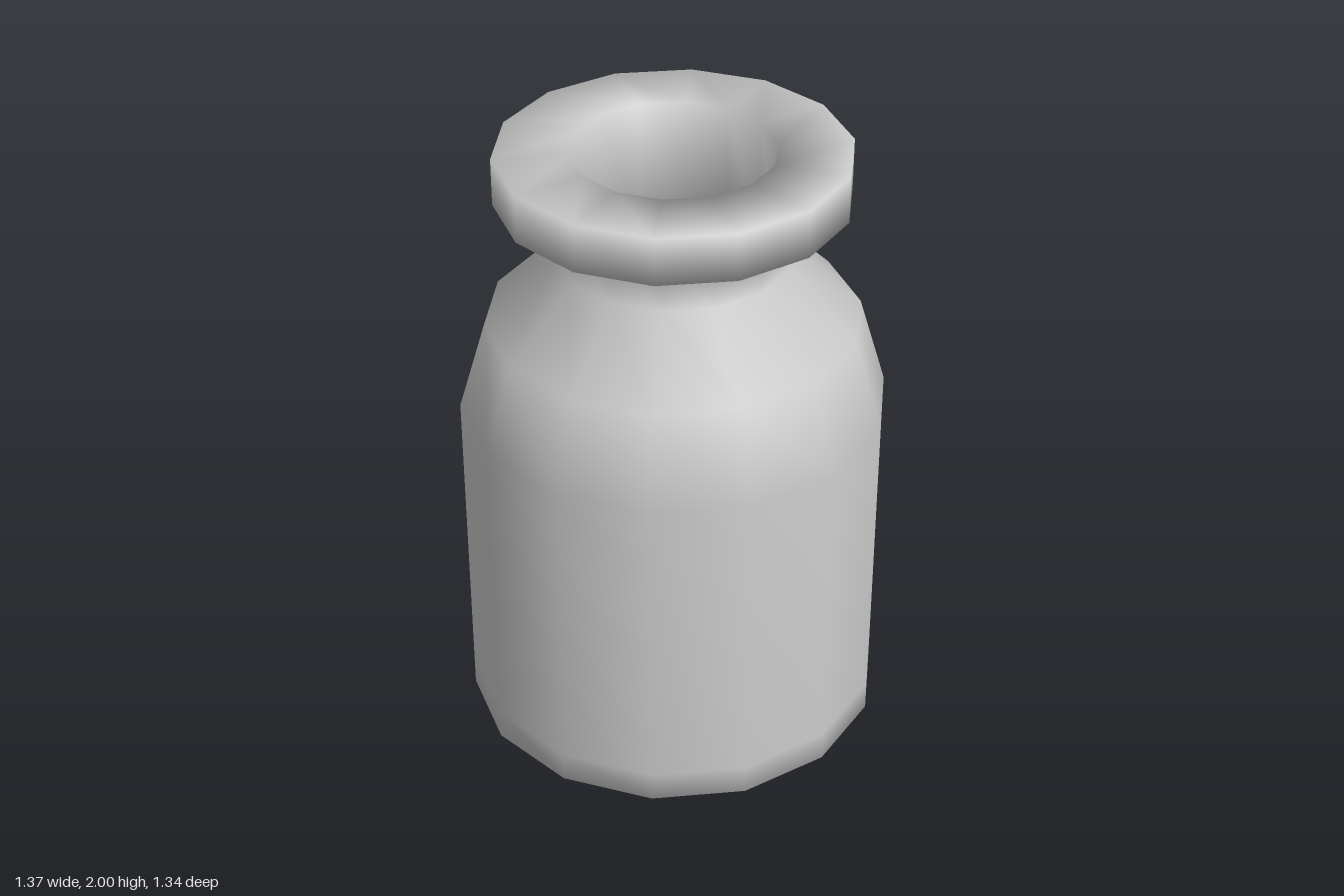
import * as THREE from 'three';

const SIDES = 14;

export function createModel() {
  const group = new THREE.Group();
  group.name = 'bottle';
  const material = new THREE.MeshStandardMaterial({ color: 0xcccccc });

  // Closed wall profile as [radius, height]: up the outside, down the inside
  const profile = [
    // base and body
    [0, 0], [0.63, 0], [0.685, 0], [0.685, 0.1], [0.685, 1.13],
    // shoulder and neck
    [0.597, 1.425], [0.37, 1.65], [0.37, 1.845],
    // flared rim
    [0.555, 1.845], [0.555, 2], [0.32, 2],
    // hollow inside
    [0.32, 1.63], [0.55, 1.4], [0.635, 1.12], [0.635, 0.05], [0, 0.05],
  ].map(([r, y]) => new THREE.Vector2(r, y));

  // Start a quarter turn round so corners fall on the x axis
  const geometry = new THREE.LatheGeometry(profile, SIDES, Math.PI / 2);
  const body = new THREE.Mesh(geometry, material);
  body.name = 'bottleBody';
  group.add(body);

  return group;
}
